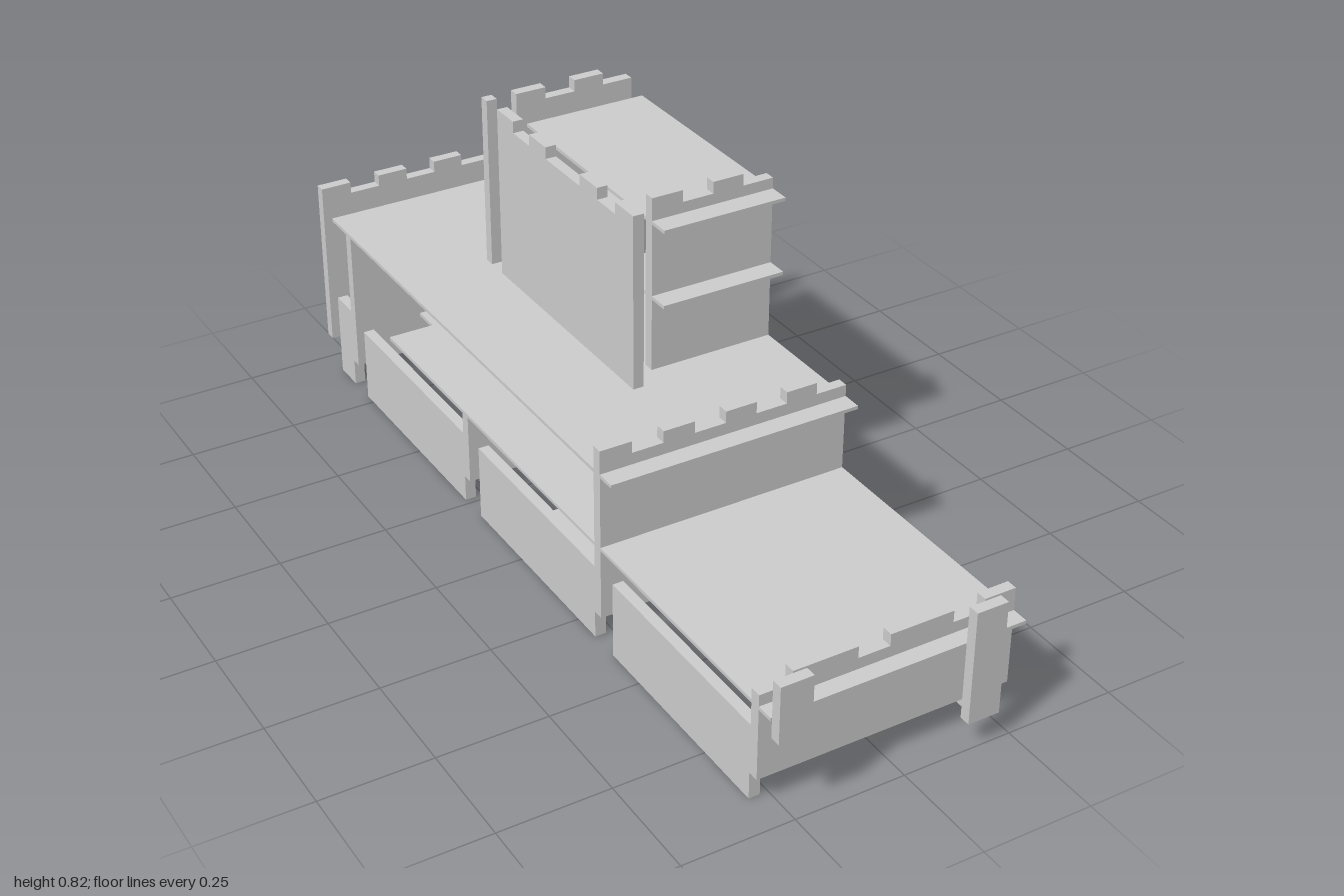
import * as THREE from 'three';

const U = 0.0733; // width of one battlement tooth
const W = 4 * U;  // half width of the building
const T = 0.025;  // wall thickness

export function createModel() {
  const group = new THREE.Group();
  const mat = new THREE.MeshStandardMaterial({ color: 0xcccccc, flatShading: true });

  function add(name, geometry) {
    const mesh = new THREE.Mesh(geometry, mat);
    mesh.name = name;
    group.add(mesh);
    return mesh;
  }

  // Box given by its extents
  function block(name, x0, x1, y0, y1, z0, z1) {
    const g = new THREE.BoxGeometry(x1 - x0, y1 - y0, z1 - z0);
    g.translate((x0 + x1) / 2, (y0 + y1) / 2, (z0 + z1) / 2);
    return add(name, g);
  }

  // Wall with a toothed top; teeth is a string of 1 (high) and 0 (low)
  function battlement(name, start, y0, y1, z, teeth) {
    const s = new THREE.Shape();
    s.moveTo(start, y0);
    [...teeth].forEach((t, i) => {
      const y = t === '1' ? y1 : y1 - 0.027;
      s.lineTo(start + i * U, y);
      s.lineTo(start + (i + 1) * U, y);
    });
    s.lineTo(start + teeth.length * U, y0);
    const g = new THREE.ExtrudeGeometry(s, { depth: T, bevelEnabled: false });
    g.translate(0, 0, z);
    return add(name, g);
  }

  // Cross walls
  battlement('backWall', -W, 0.063, 0.467, -1, '10101010');
  battlement('middleWall', -W, 0.063, 0.467, 0.32, '10101010');
  battlement('frontWall', -W, 0.063, 0.29, 0.906, '01101101');
  block('frontTurretRight', -W, -3 * U, 0.195, 0.327, 0.975, 1);
  block('frontTurretLeft', 2 * U, 3 * U, 0.063, 0.327, 0.975, 1);
  block('roomDivider', -W, W, 0.063, 0.229, -0.266, -0.241);
  block('rearDivider', -W, W, 0.063, 0.405, -0.85, -0.825);

  // Tower walls
  battlement('towerFrontWall', 0, 0.413, 0.818, 0.026, '1010');
  battlement('towerBackWall', 0, 0.413, 0.818, -0.56, '1010');
  block('towerPost', -U, -U + T, 0.413, 0.818, -0.56, -0.535);
  const side = battlement('towerSideWall', -W, 0.413, 0.818, 0, '10100101');
  side.rotation.y = Math.PI / 2;
  side.position.set(-U, 0, -0.193);

  // Tower floors and roof
  block('towerRoof', 0, W, 0.758, 0.766, -0.487, 0.1);
  block('towerShelfFront', 0, W, 0.583, 0.591, -0.12, 0.1);
  block('towerShelfBack', 0, W, 0.583, 0.591, -0.487, -0.267);
  block('towerLanding', 0, 2 * U, 0.496, 0.503, -0.267, -0.12);

  // Flat floor outlined by [x, z] points
  function floor(name, y, points) {
    const s = new THREE.Shape(points.map(([x, z]) => new THREE.Vector2(x, -z)));
    const g = new THREE.ExtrudeGeometry(s, { depth: 0.008, bevelEnabled: false });
    g.rotateX(-Math.PI / 2);
    g.translate(0, y, 0);
    add(name, g);
  }
  // Upper floor with the stairwell cut into its side
  floor('upperFloor', 0.405, [[-W, 0.39], [W, 0.39], [W, -0.34], [0, -0.34],
    [0, -0.487], [W, -0.487], [W, -0.925], [-W, -0.925]]);
  // Lower floor with the stair corner left open
  floor('lowerFloor', 0.229, [[-W, 0.97], [W, 0.97], [W, -0.78], [0, -0.78],
    [0, -0.633], [-W, -0.633]]);

  // Long side panels that carry the building
  const sides = [['Right', -W], ['Left', 3 * U]];
  for (const [n, x] of sides) {
    block('frontPanel' + n, x, x + T, 0, 0.177, 0.393, 0.906);
    block('middlePanel' + n, x, x + T, 0, n === 'Left' ? 0.229 : 0.177, -0.193, 0.32);
  }
  block('rearPanelRight', -W, -W + T, 0, 0.177, -0.78, -0.266);
  block('rearPanelLeft', 3 * U, 3 * U + T, 0, 0.177, -0.487, -0.266);
  block('rearPanelLeft', 3 * U, 3 * U + T, 0, 0.177, -0.78, -0.56);
  block('endPanelRight', -W, -W + T, 0, 0.2, -0.925, -0.85);
  block('endPanelLeft', 3 * U, 3 * U + T, 0, 0.405, -0.925, -0.85);
  block('endPost', 3 * U, 3 * U + T, 0.063, 0.405, -0.825, -0.78);

  // Low ledges near the ground
  block('ledgeRight', -W + T, -2 * U, 0.057, 0.064, -0.047, 0.247);
  block('ledgeLeft', U, 3 * U + T, 0.057, 0.064, -0.047, 0.247);
  block('stairLanding', -2 * U, U, 0.057, 0.064, -0.78, -0.633);

  // Stairs: thin treads at the back, a panel and step to the upper floor
  for (let i = 0; i < 6; i++) {
    const x = -2 * U + i * 0.0245;
    block('stairTread', x, x + 0.0245, 0.178 + i * 0.009, 0.187 + i * 0.009, -0.78, -0.633);
  }
  block('stairwellPanel', -T, 0, 0.237, 0.405, -0.487, -0.34);
  block('stairwellStep', 0, 2 * U, 0.321, 0.328, -0.487, -0.34);

  return group;
}
